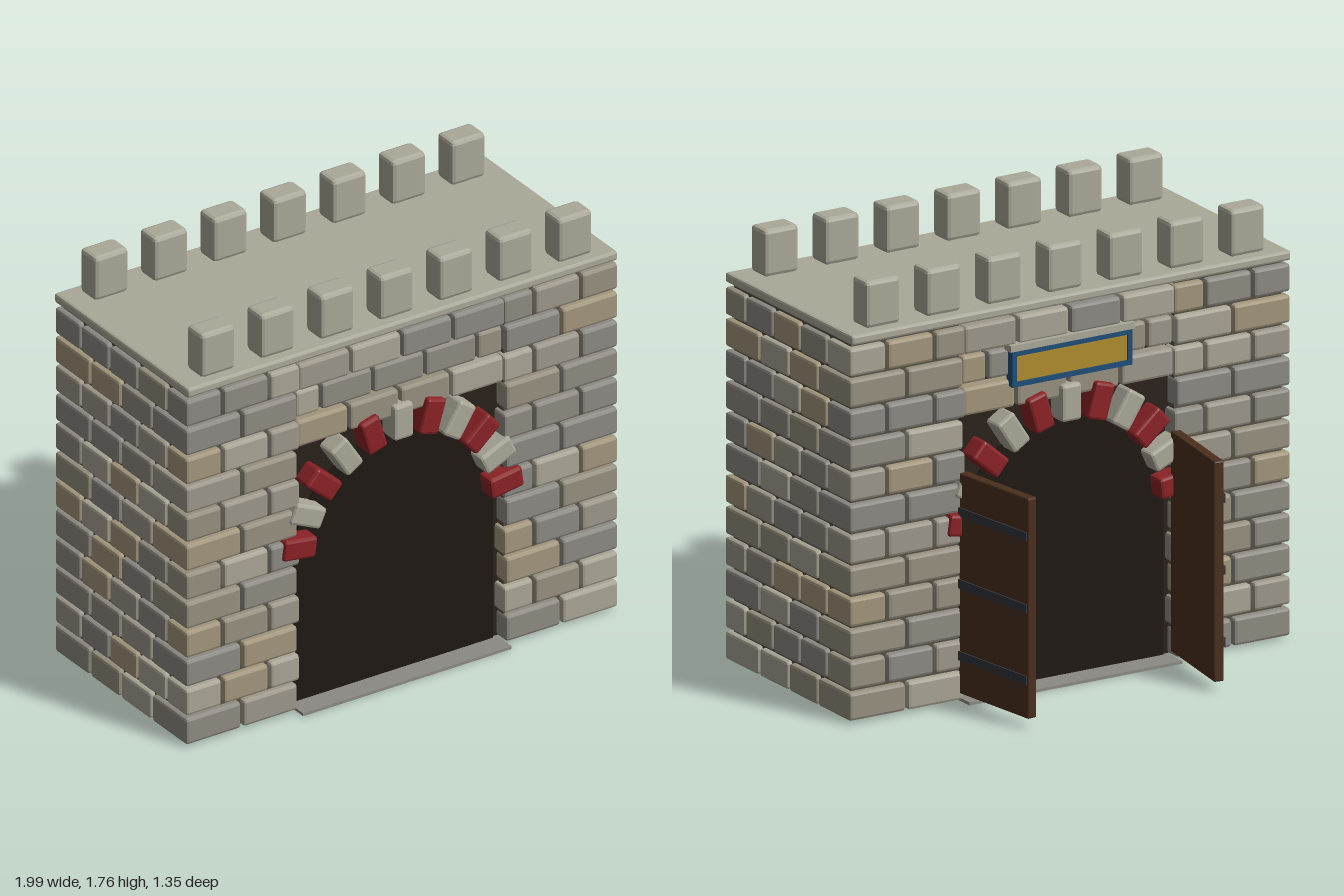
import * as THREE from 'three';
import { RoundedBoxGeometry } from 'three/addons/geometries/RoundedBoxGeometry.js';

const mat = (color) => new THREE.MeshStandardMaterial({ color, flatShading: true });
const STONES = [0x9d978a, 0x8f8b82, 0xa3967c, 0x96907f, 0xa9a595, 0x8b8a84].map(mat);
const PALE = mat(0xaaa898), RED = mat(0x8b2226), MORTAR = mat(0x565145);
const DARK = mat(0x2a211b), BLACK = mat(0x1f1813), SLAB = mat(0x8c8a83);
const WOOD = mat(0x4a2f1c), IRON = mat(0x33353a), BLUE = mat(0x1f4e79), GOLD = mat(0xb08d2e);

// small seeded generator for the stone colours
let seed = 7;
const rand = () => (seed = (seed * 16807) % 2147483647) / 2147483647;

function add(parent, name, geometry, material, x = 0, y = 0, z = 0) {
  const mesh = new THREE.Mesh(geometry, material);
  mesh.name = name;
  mesh.position.set(x, y, z);
  parent.add(mesh);
  return mesh;
}

// box given by its low and high limits; bevel 0 gives a sharp box
function span(parent, name, material, [x0, x1], [y0, y1], [z0, z1], bevel = 0) {
  const w = x1 - x0, h = y1 - y0, d = z1 - z0;
  const geometry = bevel ? new RoundedBoxGeometry(w, h, d, 1, bevel) : new THREE.BoxGeometry(w, h, d);
  return add(parent, name, geometry, material, (x0 + x1) / 2, (y0 + y1) / 2, (z0 + z1) / 2);
}

const FRONT = 0.64, BACK = -0.27, MID = (FRONT + BACK) / 2;
const ROWS = 12, PITCH = 0.1263, ROW_H = 0.113, GAP = 0.006;

function stone(parent, xs, y, zs) {
  const x = [Math.min(...xs) + GAP, Math.max(...xs) - GAP];
  const material = STONES[Math.floor(rand() * STONES.length)];
  span(parent, 'stone', material, x, [y, y + ROW_H], zs, 0.012);
}

// courses of stones around the two piers, with shared corner blocks
function buildPiers(parent) {
  const xCuts = [[0.475, 0.735, 1], [0.465, 0.61, 0.825, 1]];
  const zCuts = [[FRONT, 0.395, 0.18, -0.03, BACK], [FRONT, 0.495, 0.295, 0.1, -0.095, BACK]];
  for (let row = 0; row < ROWS; row++) {
    const y = 0.012 + row * PITCH, xs = xCuts[row % 2], zs = zCuts[row % 2];
    const nx = xs.length - 1, nz = zs.length - 1;
    for (const s of [-1, 1]) {
      for (let i = 0; i < nx; i++) {
        const corner = i === nx - 1, x = [s * xs[i], s * xs[i + 1]];
        stone(parent, x, y, [corner ? zs[1] + GAP : FRONT - 0.12, FRONT]);
        stone(parent, x, y, [BACK, corner ? zs[nz - 1] - GAP : BACK + 0.12]);
      }
      for (let i = 1; i < nz - 1; i++)
        stone(parent, [s * 0.88, s], y, [zs[i + 1] + GAP, zs[i] - GAP]);
    }
  }
}

// three courses above the gate, front and back
function buildLintel(parent) {
  const wide = [-0.48, -0.235, 0, 0.235, 0.48];
  const courses = [[9, wide, 0.012], [10, [-0.48, -0.36, -0.12, 0.12, 0.36, 0.48], 0.02], [11, wide, 0]];
  for (const [row, cuts, inset] of courses) {
    const y = 0.012 + row * PITCH;
    for (let i = 0; i < cuts.length - 1; i++) {
      stone(parent, [cuts[i], cuts[i + 1]], y, [FRONT - 0.12, FRONT - inset]);
      stone(parent, [cuts[i], cuts[i + 1]], y, [BACK + inset, BACK + 0.12]);
    }
  }
}

// eleven alternating blocks around each arch
function buildArch(parent, z) {
  const geometry = new RoundedBoxGeometry(0.15, 0.088, 0.13, 1, 0.012);
  for (let i = 0; i < 11; i++) {
    const a = THREE.MathUtils.degToRad(8 + 16.4 * i);
    const block = add(parent, 'archStone', geometry, i % 2 ? PALE : RED,
      0.48 * Math.cos(a), 0.65 + 0.48 * Math.sin(a), z);
    if (i === 5) block.material = PALE;
    else block.material = Math.min(i, 10 - i) % 2 ? PALE : RED;
    block.rotation.z = a;
  }
}

// open door leaf with iron straps on its outer face
function buildDoor(parent, s) {
  const door = new THREE.Group();
  door.name = s > 0 ? 'leftDoor' : 'rightDoor';
  door.position.set(s * 0.45, 0, -0.468);
  door.rotation.y = s * 0.14;
  span(door, 'doorPanel', WOOD, [-0.021, 0.021], [0.04, 0.93], [-0.207, 0.207], 0.006);
  for (const y of [0.195, 0.485, 0.775])
    span(door, 'strap', IRON, s > 0 ? [0.015, 0.028] : [-0.028, -0.015],
      [y - 0.018, y + 0.018], [-0.2, 0.205]);
  parent.add(door);
}

export function createModel() {
  seed = 7;
  const model = new THREE.Group();
  model.name = 'gatehouse';
  const group = (name) => {
    const g = new THREE.Group();
    g.name = name;
    model.add(g);
    return g;
  };

  // mortar cores, and the dark filling of the gateway
  for (const s of [-1, 1])
    span(model, 'pierCore', MORTAR, s > 0 ? [0.485, 0.97] : [-0.97, -0.485],
      [0.015, 1.53], [BACK + 0.03, FRONT - 0.03]);
  span(model, 'gateCore', DARK, [-0.486, 0.486], [0.013, 1.53], [-0.2, 0.57]);
  const opening = new THREE.Shape();
  opening.moveTo(-0.457, 0.013);
  opening.lineTo(0.457, 0.013);
  opening.lineTo(0.457, 0.65);
  opening.absellipse(0, 0.65, 0.457, 0.42, 0, Math.PI, false);
  opening.closePath();
  add(model, 'gateOpening',
    new THREE.ExtrudeGeometry(opening, { depth: 0.79, bevelEnabled: false, curveSegments: 24 }),
    BLACK, 0, 0, MID - 0.395);

  buildPiers(group('piers'));
  buildLintel(group('lintel'));
  buildArch(group('frontArch'), 0.59);
  buildArch(group('backArch'), -0.22);

  // threshold and roof slab
  span(model, 'threshold', SLAB, [-0.48, 0.48], [0, 0.012], [-0.31, 0.675]);
  span(model, 'roof', PALE, [-0.99, 0.99], [1.53, 1.57], [-0.28, 0.645], 0.01);

  // battlements along both long edges
  const merlons = group('battlements');
  const merlon = new RoundedBoxGeometry(0.155, 0.19, 0.108, 1, 0.016);
  for (const z of [0.552, -0.184])
    for (let i = -3; i <= 3; i++) add(merlons, 'merlon', merlon, PALE, i * 0.274, 1.665, z);

  buildDoor(model, 1);
  buildDoor(model, -1);

  // blank sign board on the back
  const sign = group('sign');
  span(sign, 'signPanel', GOLD, [-0.25, 0.25], [1.25, 1.37], [-0.278, -0.24]);
  for (const s of [-1, 1]) {
    const y = 1.31 + s * 0.062;
    span(sign, 'signRail', BLUE, [-0.27, 0.27], [y - 0.01, y + 0.01], [-0.286, -0.24]);
    span(sign, 'signStile', BLUE, [s * 0.26 - 0.01, s * 0.26 + 0.01], [1.24, 1.38], [-0.286, -0.24]);
  }
  span(sign, 'signCap', PALE, [-0.28, 0.28], [1.382, 1.408], [-0.288, -0.24]);
  return model;
}
